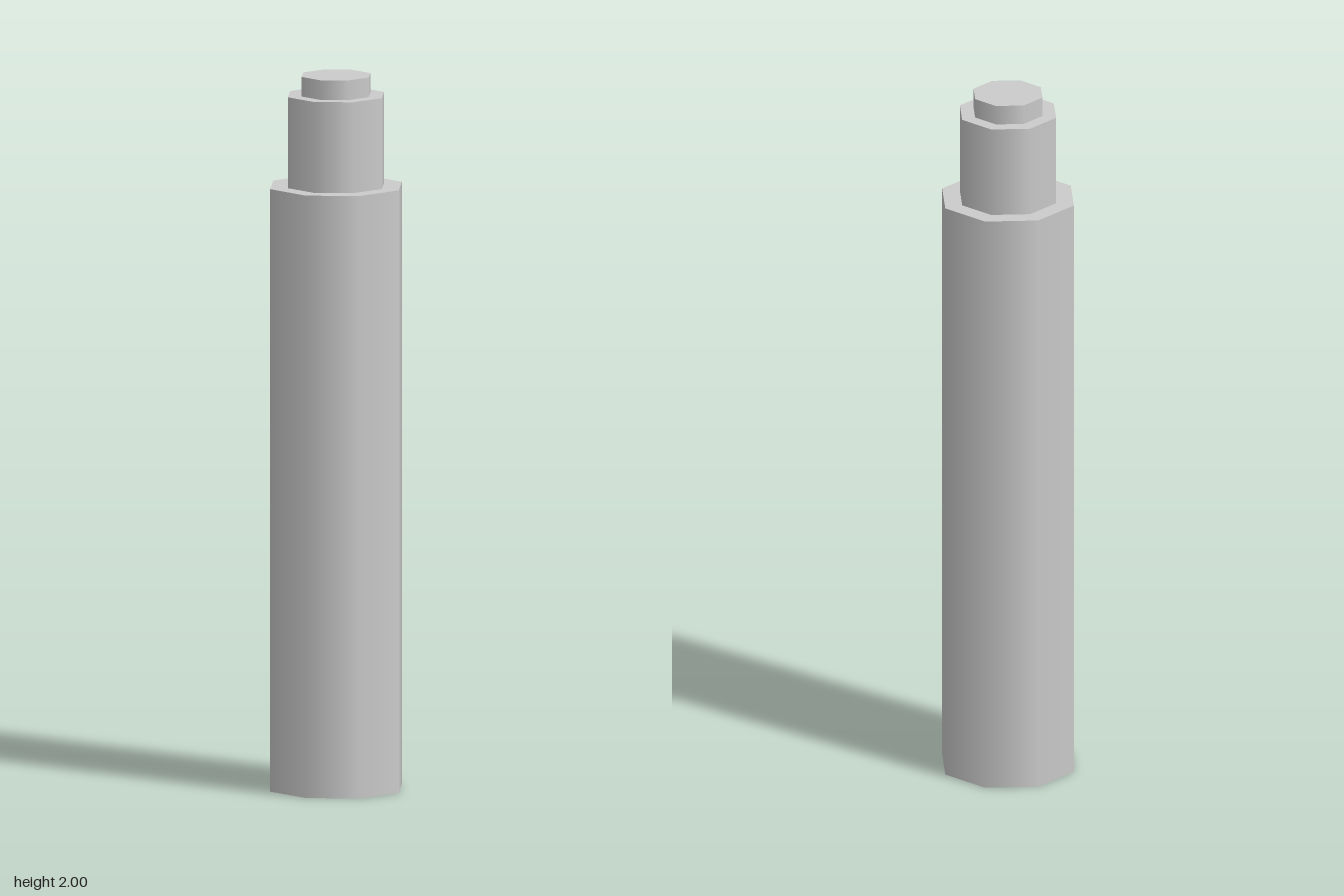
import * as THREE from 'three';

export function createModel() {
  const model = new THREE.Group();
  const material = new THREE.MeshStandardMaterial({ color: 0xcccccc });

  // Stacked eight-sided cylinders with smooth sides: name, radius, bottom, top
  const sections = [
    ['body', 0.193, 0, 1.69],
    ['neck', 0.141, 1.69, 1.945],
    ['tip', 0.101, 1.945, 2],
  ];
  for (const [name, radius, bottom, top] of sections) {
    const geometry = new THREE.CylinderGeometry(radius, radius, top - bottom, 8);
    const mesh = new THREE.Mesh(geometry, material);
    mesh.name = name;
    mesh.position.y = (bottom + top) / 2;
    model.add(mesh);
  }
  return model;
}
